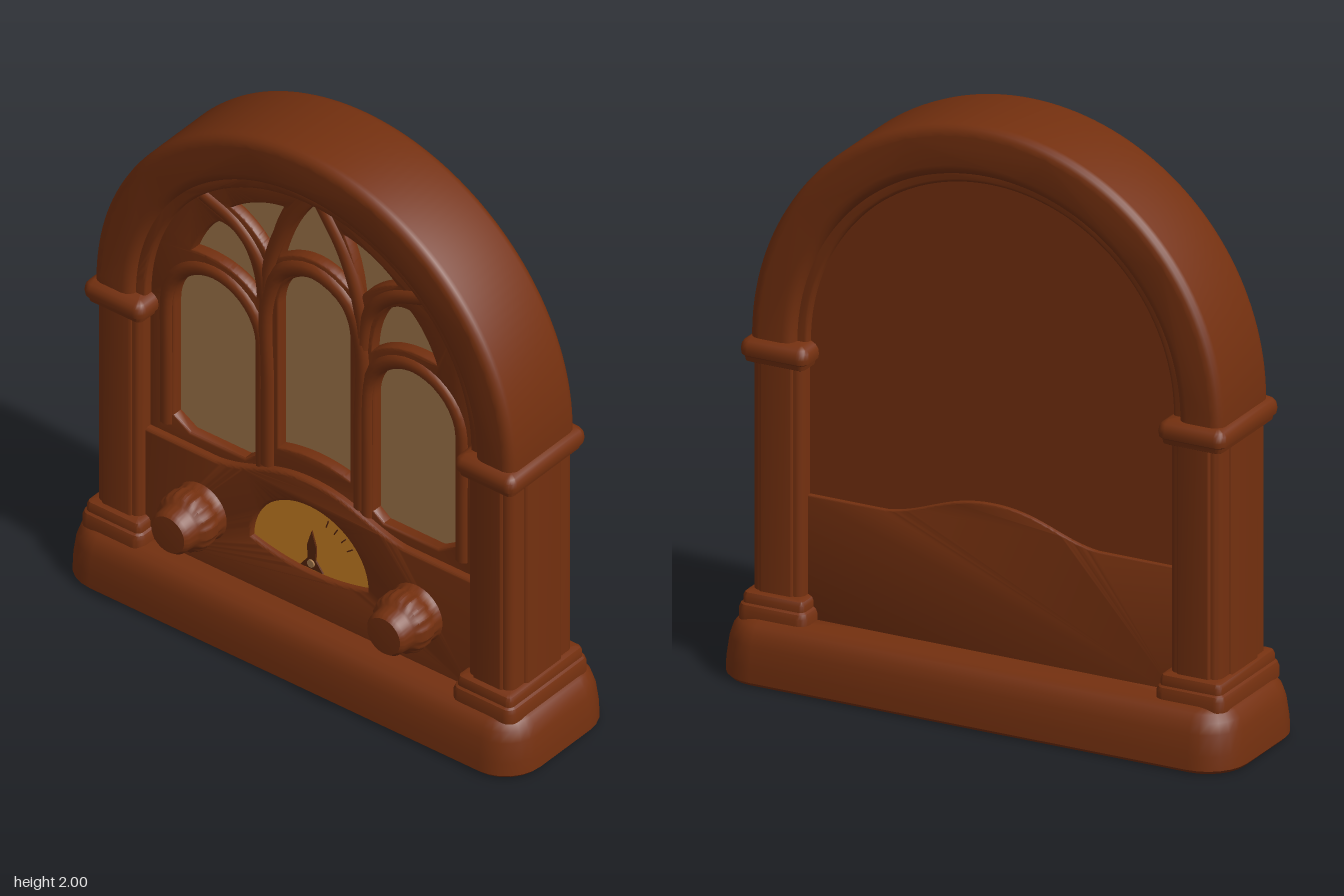
import * as THREE from 'three';
import { toCreasedNormals } from 'three/addons/utils/BufferGeometryUtils.js';

const material = (name, color) => Object.assign(new THREE.MeshStandardMaterial({ color }), { name });

export function createModel() {
  const wood = material('walnut wood', 0x74300f);
  const cloth = material('speaker cloth', 0xa87c4e);
  const amber = material('amber dial', 0xd48624);
  const dark = material('dark brown markings', 0x5a260c);
  const root = new THREE.Group();
  root.name = 'tableRadio';

  const add = (name, geometry, mat = wood, parent = root) => {
    const mesh = new THREE.Mesh(geometry, mat);
    mesh.name = name;
    parent.add(mesh);
    return mesh;
  };

  // Extrude between two depths, with rounded edges kept inside the outline
  const slab = (shape, z0, z1, b = 0) => {
    const g = new THREE.ExtrudeGeometry(shape, {
      depth: z1 - z0 - 2 * b, curveSegments: 40, bevelEnabled: b > 0,
      bevelSize: b, bevelThickness: b, bevelOffset: -b, bevelSegments: 4,
    });
    g.translate(0, 0, z0 + b);
    return toCreasedNormals(g, 0.6);
  };

  // Stack of rounded rectangles; levels are [height, inset]
  const loft = (levels, hw, hd, r, cx, cz) => {
    const pos = [], index = [], n = 28;
    for (const [y, inset] of levels) {
      const rad = Math.max(r - inset, 0.008);
      for (let k = 0; k < 4; k++) for (let i = 0; i < 7; i++) {
        const a = (k + i / 6) * Math.PI / 2;
        const sx = k === 0 || k === 3 ? 1 : -1, sz = k < 2 ? -1 : 1;
        pos.push(cx + sx * (hw - inset - rad) + rad * Math.cos(a), y,
          cz + sz * (hd - inset - rad) - rad * Math.sin(a));
      }
    }
    const last = levels.length - 1;
    for (let l = 0; l < last; l++) for (let i = 0; i < n; i++) {
      const a = l * n + i, b = l * n + (i + 1) % n;
      index.push(a, b, b + n, a, b + n, a + n);
    }
    const bottom = pos.length / 3;
    pos.push(cx, levels[0][0], cz, cx, levels[last][0], cz);
    for (let i = 0; i < n; i++) {
      const j = (i + 1) % n;
      index.push(bottom, j, i, bottom + 1, last * n + i, last * n + j);
    }
    const g = new THREE.BufferGeometry();
    g.setAttribute('position', new THREE.Float32BufferAttribute(pos, 3));
    g.setIndex(index);
    return toCreasedNormals(g, 0.6);
  };

  const arch = (T, rx, ry, y0, yc, cx = 0) => {
    const s = new T();
    s.moveTo(cx - rx, y0);
    s.lineTo(cx + rx, y0);
    s.lineTo(cx + rx, yc);
    s.absellipse(cx, yc, rx, ry, 0, Math.PI, false);
    s.closePath();
    return s;
  };
  const archBand = (rx, ry, innerR) => {
    const s = new THREE.Shape();
    s.moveTo(rx, 1.08);
    s.lineTo(rx, 1.14);
    s.absellipse(0, 1.14, rx, ry, 0, Math.PI, false);
    s.lineTo(-rx, 1.08);
    s.lineTo(-innerR, 1.08);
    s.lineTo(-innerR, 1.14);
    s.absellipse(0, 1.14, innerR, innerR, Math.PI, 0, true);
    s.lineTo(innerR, 1.08);
    s.closePath();
    return s;
  };

  // Base
  add('base', loft([[0, 0.012], [0.012, 0], [0.06, 0.002], [0.13, 0.012], [0.165, 0.024],
    [0.188, 0.042], [0.203, 0.07]], 0.925, 0.265, 0.14, 0, -0.02));

  // Cabinet body and arched frame
  add('cabinetCore', slab(arch(THREE.Shape, 0.7, 0.7, 0.19, 1.14), -0.115, 0.045));
  add('archFrame', slab(archBand(0.845, 0.86, 0.69), -0.18, 0.155, 0.035));
  add('archInnerStep', slab(archBand(0.73, 0.73, 0.655), -0.14, 0.125, 0.012));
  add('speakerCloth', slab(arch(THREE.Shape, 0.66, 0.66, 0.6, 1.14), 0.045, 0.054), cloth);

  // Grille plate with window openings
  const grille = arch(THREE.Shape, 0.68, 0.68, 0.55, 1.14);
  const centre = new THREE.Path();
  centre.moveTo(-0.142, 0.765);
  centre.quadraticCurveTo(0, 0.805, 0.142, 0.765);
  centre.lineTo(0.142, 1.32);
  centre.absellipse(0, 1.32, 0.142, 0.16, 0, Math.PI, false);
  centre.closePath();
  const gothic = new THREE.Path();
  gothic.moveTo(-0.135, 1.515);
  gothic.quadraticCurveTo(0, 1.605, 0.135, 1.515);
  gothic.quadraticCurveTo(0.09, 1.68, 0, 1.77);
  gothic.quadraticCurveTo(-0.09, 1.68, -0.135, 1.515);
  grille.holes.push(centre, gothic);
  for (const s of [-1, 1]) {
    const side = new THREE.Path();
    side.moveTo(s * 0.28, 0.66);
    side.lineTo(s * 0.5, 0.66);
    side.lineTo(s * 0.565, 0.7);
    side.lineTo(s * 0.565, 1.13);
    side.bezierCurveTo(s * 0.565, 1.355, s * 0.24, 1.355, s * 0.24, 1.13);
    side.lineTo(s * 0.24, 0.69);
    side.closePath();
    const lower = new THREE.Path();
    lower.moveTo(s * 0.49, 1.38);
    lower.quadraticCurveTo(s * 0.45, 1.48, s * 0.385, 1.535);
    lower.quadraticCurveTo(s * 0.34, 1.54, s * 0.3, 1.505);
    lower.quadraticCurveTo(s * 0.24, 1.43, s * 0.235, 1.315);
    lower.quadraticCurveTo(s * 0.33, 1.4, s * 0.49, 1.38);
    const upper = new THREE.Path();
    upper.moveTo(s * 0.33, 1.615);
    upper.quadraticCurveTo(s * 0.24, 1.69, s * 0.125, 1.71);
    upper.quadraticCurveTo(s * 0.175, 1.61, s * 0.185, 1.5);
    upper.quadraticCurveTo(s * 0.24, 1.58, s * 0.33, 1.615);
    grille.holes.push(side, lower, upper);
  }
  add('grillePlate', slab(grille, 0.046, 0.092, 0.01));

  // Rounded tracery bars
  const bar = (points, r = 0.029) => {
    const curve = new THREE.CatmullRomCurve3(points.map(([x, y]) => new THREE.Vector3(x, y, 0)));
    const g = new THREE.TubeGeometry(curve, 48, r, 10);
    g.scale(1, 1, 0.9);
    g.translate(0, 0, 0.084);
    add('traceryBar', g);
  };
  bar([[-0.188, 0.68], [-0.188, 1.0], [-0.188, 1.32], [-0.13, 1.46], [0, 1.515],
    [0.13, 1.46], [0.188, 1.32], [0.188, 1.0], [0.188, 0.68]]);
  for (const s of [-1, 1]) {
    const hood = [];
    for (let i = 0; i <= 12; i++) {
      const a = i / 12 * Math.PI;
      hood.push([s * (0.403 + 0.193 * Math.cos(a)), 1.13 + 0.2 * Math.sin(a)]);
    }
    bar([[s * 0.596, 0.66], [s * 0.596, 0.9], ...hood, [s * 0.21, 0.9], [s * 0.21, 0.66]], 0.026);
    bar([[s * 0.19, 1.28], [s * 0.185, 1.44], [s * 0.12, 1.64], [s * 0.02, 1.8]], 0.026);
    bar([[s * 0.19, 1.28], [s * 0.22, 1.45], [s * 0.31, 1.555], [s * 0.45, 1.615]], 0.026);
  }

  // Lower control panel, arched over the dial, seen on both sides
  const panel = () => {
    const p = new THREE.Shape();
    p.moveTo(-0.67, 0.18);
    p.lineTo(0.67, 0.18);
    p.lineTo(0.67, 0.62);
    p.lineTo(0.38, 0.62);
    p.bezierCurveTo(0.24, 0.635, 0.17, 0.71, 0, 0.71);
    p.bezierCurveTo(-0.17, 0.71, -0.24, 0.635, -0.38, 0.62);
    p.lineTo(-0.67, 0.62);
    p.closePath();
    return p;
  };
  const fan = (T) => {
    const d = new T();
    d.moveTo(-0.235, 0.39);
    d.absellipse(0, 0.39, 0.235, 0.22, Math.PI, 0, true);
    d.quadraticCurveTo(0, 0.32, -0.235, 0.39);
    return d;
  };
  const front = panel();
  front.holes.push(fan(THREE.Path));
  add('controlPanel', slab(front, 0.04, 0.118, 0.012));
  add('backPanel', slab(panel(), -0.13, -0.1, 0.006));

  // Dial with needle, hub and tick marks
  add('dial', slab(fan(THREE.Shape), 0.09, 0.098), amber);
  const needle = new THREE.Shape([[-0.045, 0.362], [0.045, 0.362], [0.016, 0.4], [0.018, 0.45],
    [0, 0.51], [-0.018, 0.45], [-0.016, 0.4]].map(([x, y]) => new THREE.Vector2(x, y)));
  add('dialNeedle', slab(needle, 0.098, 0.104), dark);
  const hub = add('needleHub', new THREE.CylinderGeometry(0.014, 0.014, 0.008, 16), cloth);
  hub.rotation.x = Math.PI / 2;
  hub.position.set(0, 0.385, 0.106);
  for (let i = 0; i < 4; i++) {
    const a = 0.65 + i * 0.2;
    const tick = add('dialTick', new THREE.BoxGeometry(0.03, 0.004, 0.002), dark);
    tick.position.set(0.19 * Math.cos(a), 0.39 + 0.18 * Math.sin(a), 0.099);
    tick.rotation.z = a;
  }

  for (const s of [-1, 1]) {
    // Pilaster: shaft, raised strips, stepped foot and collar
    const pilaster = new THREE.Group();
    pilaster.name = s > 0 ? 'leftPilaster' : 'rightPilaster';
    root.add(pilaster);
    const x = s * 0.748, z = -0.0125;
    add('shaft', loft([[0.2, 0], [1.1, 0]], 0.09, 0.16, 0.03, x, z), wood, pilaster);
    add('frontBackStrip', loft([[0.2, 0], [1.1, 0]], 0.06, 0.168, 0.01, x, z), wood, pilaster);
    add('sideStrip', loft([[0.2, 0], [1.1, 0]], 0.098, 0.09, 0.01, x, z), wood, pilaster);
    add('foot', loft([[0.19, 0], [0.225, 0], [0.24, 0.006], [0.245, 0.014], [0.265, 0.014],
      [0.278, 0.02], [0.284, 0.032]], 0.125, 0.203, 0.035, x, z), wood, pilaster);
    add('collar', loft([[1.055, 0.03], [1.062, 0.016], [1.078, 0.012], [1.084, 0.003], [1.1, 0],
      [1.118, 0.003], [1.13, 0.012], [1.14, 0.03]], 0.122, 0.196, 0.035, x, z), wood, pilaster);

    // Ribbed tuning knob
    const profile = [[0.115, 0.1], [0.1, 0.125], [0.1, 0.15], [0.106, 0.165], [0.106, 0.195],
      [0.1, 0.215], [0.084, 0.228], [0.08, 0.236], [0.076, 0.272], [0.066, 0.285], [0, 0.288]];
    const g = new THREE.LatheGeometry(profile.map(([r, h]) => new THREE.Vector2(r, h)), 72);
    const p = g.attributes.position;
    for (let i = 0; i < p.count; i++) {
      const h = p.getY(i), a = Math.atan2(p.getZ(i), p.getX(i));
      const k = h > 0.14 && h < 0.22 ? 1 - 0.025 * (1 + Math.cos(18 * a)) : 1;
      p.setXYZ(i, p.getX(i) * k, h, p.getZ(i) * k);
    }
    g.rotateX(Math.PI / 2);
    const knob = add(s > 0 ? 'leftKnob' : 'rightKnob', toCreasedNormals(g, 0.7));
    knob.position.set(s * 0.435, 0.4, 0);
  }
  return root;
}
